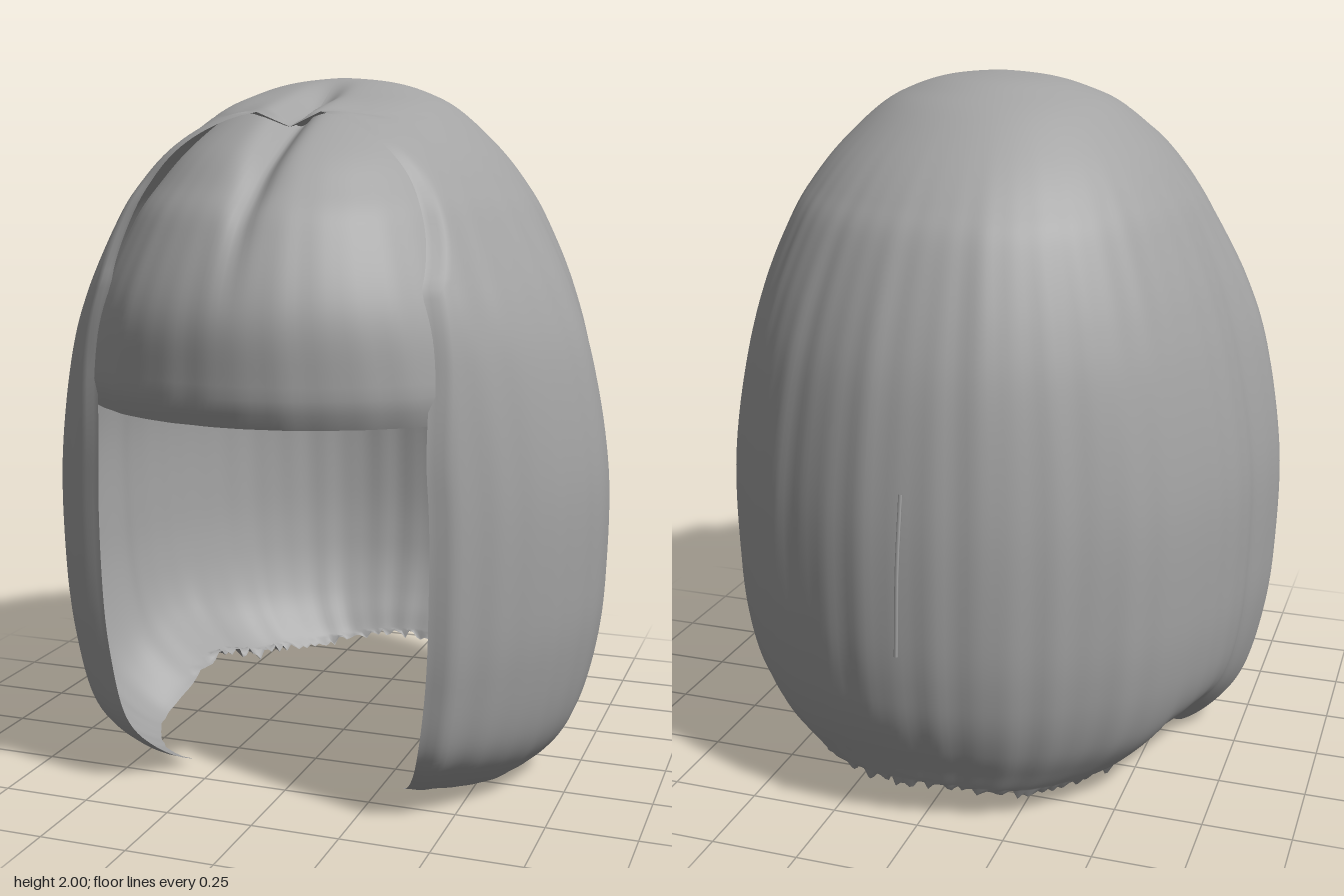
import * as THREE from 'three';

// Dome profile: height, half width, front depth, back depth
const KEYS = [
  [2.0, 0, 0, 0], [1.985, 0.15, 0.09, 0.16], [1.95, 0.26, 0.22, 0.26], [1.9, 0.345, 0.4, 0.35],
  [1.8, 0.45, 0.6, 0.475], [1.7, 0.53, 0.71, 0.575], [1.6, 0.595, 0.79, 0.65], [1.4, 0.7, 0.88, 0.74],
  [1.2, 0.77, 0.885, 0.795], [0.9, 0.82, 0.87, 0.835], [0.6, 0.82, 0.86, 0.84],
  [0.4, 0.8, 0.84, 0.82], [0.2, 0.75, 0.8, 0.775], [0.08, 0.675, 0.69, 0.735], [0, 0.57, 0.53, 0.7],
];
const radii = new THREE.CatmullRomCurve3(KEYS.map(k => new THREE.Vector3(k[1], k[2], k[3])), false, 'catmullrom');
const heights = new THREE.SplineCurve(KEYS.map((k, i) => new THREE.Vector2(i, k[0])));
const { smoothstep, lerp } = THREE.MathUtils;
const noise = n => { const s = Math.sin(n * 127.1) * 43758.5; return s - Math.floor(s); };

// Point on the hair dome at profile position t, angle a from the front
function domePoint(t, a, scale = 1) {
  const r = radii.getPoint(t), y = Math.max(0, heights.getPoint(t).y), c = Math.cos(a);
  // the head is widest just in front of the middle and narrower behind
  const width = lerp(1.015, 0.955, smoothstep(-c, -0.18, 0.1) * smoothstep(2 - y, 0.2, 0.8));
  return new THREE.Vector3(r.x * Math.sin(a) * scale * width, y, (c > 0 ? r.y : r.z) * c * scale);
}

// Soft ridges that run down the hair like locks
function locks(a, y) {
  const m = smoothstep(2 - y, 0.05, 0.6);
  return m * (0.003 * Math.sin(a * 13 + y * 0.5) + 0.002 * Math.sin(a * 29 + 1.3 + y) + 0.002 * Math.sin(a * 47 - y * 0.8));
}

// Grid surface from a function of u (around) and v (downwards)
function surface(point, nu, nv) {
  const pos = [], idx = [];
  for (let j = 0; j <= nv; j++) for (let i = 0; i <= nu; i++) pos.push(...point(i / nu, j / nv, i).toArray());
  for (let j = 0; j < nv; j++) for (let i = 0; i < nu; i++) {
    const a = j * (nu + 1) + i, c = a + nu + 1;
    idx.push(a, c, a + 1, a + 1, c, c + 1);
  }
  const g = new THREE.BufferGeometry();
  g.setAttribute('position', new THREE.Float32BufferAttribute(pos, 3));
  g.setIndex(idx);
  g.computeVertexNormals();
  return g;
}

// Angle where the side curtains part: an arch over the fringe, then a straight face opening
function partAngle(t) {
  const y = heights.getPoint(t).y;
  if (y >= 1.89) return 0;
  if (y < 1.45) return 0.62 + 0.085 * smoothstep(y, 0.95, 1.45);
  const archX = 0.44 * Math.sqrt(1 - Math.pow((y - 1.45) / 0.44, 2));
  return Math.asin(archX / radii.getPoint(t).x);
}

// Height of the cut edge around the head
function hemHeight(a) {
  const front = 0.02 * (1 - smoothstep(a, 0.6, 1.1));
  const rise = 0.11 * smoothstep(a, 1.35, 1.85) - 0.04 * smoothstep(a, 1.95, 2.2) + 0.03 * smoothstep(a, 2.5, 3.1);
  return front + rise;
}

// Groove of the centre parting
function parting(p) {
  const along = smoothstep(p.z, 0.02, 0.25);
  p.y -= 0.05 * along * smoothstep(p.y, 1.5, 1.85) * Math.exp(-Math.pow(p.x / 0.05, 2));
}

function mainHair(u, v, i) {
  const y0 = heights.getPoint(v).y;
  const edge = partAngle(v);
  const a = lerp(edge, Math.PI * 2 - edge, u);
  const fold = Math.min(a, Math.PI * 2 - a);
  // the front edges of the curtains roll inwards, and puff up over the fringe
  const fromEdge = Math.min(u, 1 - u);
  const roll = 0.03 * (1 - smoothstep(fromEdge, 0, 0.015)) * smoothstep(2 - y0, 0.1, 0.4);
  const lift = 0.03 * (1 - smoothstep(fromEdge, 0.01, 0.09)) * smoothstep(y0, 1.3, 1.8) * smoothstep(2 - y0, 0.05, 0.12);
  const p = domePoint(v, a, 1 + locks(a, y0) - roll + lift);
  p.y += hemHeight(fold) * (1 - smoothstep(y0, 0, 0.4)) + 0.5 * lift;
  // ragged tips at the back
  if (v > 0.985) p.y += (noise(i) - 0.5) * 0.04 * smoothstep(fold, 1.6, 1.9);
  parting(p);
  return p;
}

function fringe(u, v) {
  const t = lerp(2.9, 8.34, v) / (KEYS.length - 1);
  const a = lerp(-0.82, 0.82, u);
  const y = heights.getPoint(t).y;
  const curl = 1 - smoothstep(y, 1.09, 1.2);
  const tuck = 0.035 * Math.pow(Math.abs(a) / 0.82, 2) + 0.03 * smoothstep(y, 1.6, 1.88);
  const p = domePoint(t, a, 1 - tuck - 0.03 * curl * curl + 0.5 * locks(a, y));
  // slight seam in the middle
  p.z -= 0.02 * Math.exp(-Math.pow(p.x / 0.03, 2)) * smoothstep(y, 1.35, 1.7);
  parting(p);
  return p;
}

export function createModel() {
  const model = new THREE.Group();
  model.name = 'bobHair';
  const hair = new THREE.MeshStandardMaterial({ color: 0xa3a3a3, side: THREE.DoubleSide });
  hair.name = 'hairGrey';

  const add = (name, geometry) => {
    const mesh = new THREE.Mesh(geometry, hair);
    mesh.name = name;
    model.add(mesh);
  };
  add('mainHair', surface(mainHair, 200, 126));
  add('fringe', surface(fringe, 60, 40));

  // Loose wisp hanging at the middle of the back
  const wispPath = new THREE.CatmullRomCurve3([
    new THREE.Vector3(0, 1.0, -0.825), new THREE.Vector3(0, 0.8, -0.86), new THREE.Vector3(0, 0.57, -0.878),
  ]);
  add('backWisp', new THREE.TubeGeometry(wispPath, 10, 0.006, 5));
  return model;
}
